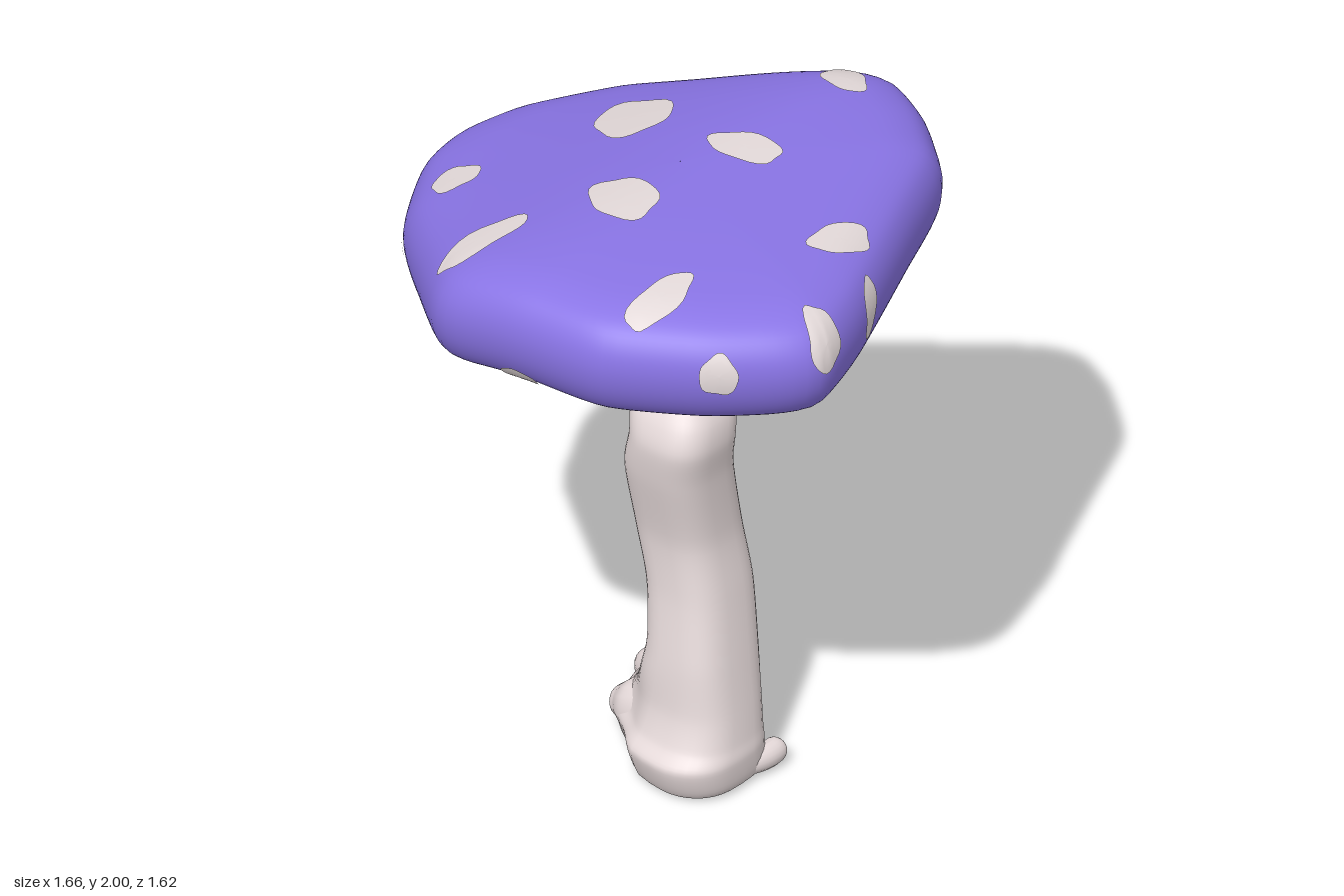
import * as THREE from 'three';

const V = (x, y, z) => new THREE.Vector3(x, y, z);
const { smoothstep } = THREE.MathUtils;
const mat = (name, color) => {
  const m = new THREE.MeshStandardMaterial({ color });
  m.name = name;
  return m;
};

// Closed-ring surface: point(i, j) for row i and ring position j
function loft(rows, n, point) {
  const pos = [], idx = [];
  for (let i = 0; i <= rows; i++) {
    for (let j = 0; j < n; j++) pos.push(...point(i, j).toArray());
  }
  for (let i = 0; i < rows; i++) {
    for (let j = 0; j < n; j++) {
      const k = (j + 1) % n, a = i * n + j, b = a + n, c = b - j + k, d = i * n + k;
      idx.push(a, b, c, a, c, d);
    }
  }
  const g = new THREE.BufferGeometry();
  g.setAttribute('position', new THREE.Float32BufferAttribute(pos, 3));
  g.setIndex(idx);
  g.computeVertexNormals();
  return g;
}

// Tube whose radius follows the given list, kept above the ground
function taperedTube(points, radii) {
  const curve = new THREE.CatmullRomCurve3(points.map((p) => V(...p)));
  const rad = new THREE.CatmullRomCurve3(radii.map((r) => V(r, 0, 0)), false, 'catmullrom');
  const segs = 36, sides = 18;
  const g = new THREE.TubeGeometry(curve, segs, 1, sides);
  const p = g.attributes.position, v = V(0, 0, 0);
  for (let i = 0; i <= segs; i++) {
    const u = i / segs, c = curve.getPointAt(u), r = rad.getPoint(curve.getUtoTmapping(u)).x;
    for (let j = 0; j <= sides; j++) {
      const k = i * (sides + 1) + j;
      v.fromBufferAttribute(p, k).sub(c).multiplyScalar(r).add(c);
      p.setXYZ(k, v.x, Math.max(0.006, v.y), v.z);
    }
  }
  g.computeVertexNormals();
  return g;
}

export function createModel() {
  const group = new THREE.Group();
  const purple = mat('cap purple', 0x8974e5);
  const dark = mat('cavity purple', 0x4c3f86);
  const pale = mat('stem pale', 0xe6dada);
  const cream = mat('spot cream', 0xe4dada);
  const add = (name, geo, material) => {
    const m = new THREE.Mesh(geo, material);
    m.name = name;
    group.add(m);
    return m;
  };

  // Stem: rounded-square sections [y, xMin, xMax, zMin, zMax]
  const sections = [
    [0.004, 0.0195, 0.0205, 0.0095, 0.0105], [0.004, -0.17, 0.21, -0.14, 0.17], [0.03, -0.2, 0.25, -0.165, 0.205],
    [0.11, -0.205, 0.26, -0.16, 0.23], [0.16, -0.18, 0.25, -0.155, 0.19], [0.25, -0.13, 0.235, -0.155, 0.155],
    [0.4, -0.07, 0.21, -0.16, 0.135], [0.6, -0.09, 0.175, -0.175, 0.105], [0.78, -0.13, 0.147, -0.16, 0.105],
    [1.0, -0.13, 0.155, -0.115, 0.155], [1.12, -0.1, 0.172, -0.105, 0.17], [1.2, -0.115, 0.16, -0.12, 0.145],
    [1.3, -0.135, 0.105, -0.145, 0.075], [1.37, -0.12, 0.07, -0.12, 0.055], [1.4, -0.03, -0.02, -0.03, -0.02],
  ];
  const spline = (pts) => new THREE.CatmullRomCurve3(pts, false, 'catmullrom', 0.4);
  const centres = spline(sections.map(([y, a, b, c, d]) => V((a + b) / 2, y, (c + d) / 2)));
  const halves = spline(sections.map(([, a, b, c, d]) => V((b - a) / 2, 0, (d - c) / 2)));
  const soft = (x) => Math.sign(x) * Math.pow(Math.abs(x), 0.72);
  add('stem', loft(84, 40, (i, j) => {
    const c = centres.getPoint(i / 84), h = halves.getPoint(i / 84), a = (j / 40) * Math.PI * 2;
    const cx = Math.cos(a), cz = Math.sin(a);
    // the foot flares towards the back toe and is cut away at one front corner
    const low = (1 - smoothstep(c.y, 0.06, 0.38)) * Math.min(1, h.x / 0.15);
    const flare = low * 0.1 * Math.max(0, -0.8 * cx - 0.6 * cz) ** 4;
    const cut = low * 0.09 * Math.max(0, -0.7 * cx + 0.7 * cz) ** 4;
    return V(c.x + h.x * soft(cx) - 0.8 * flare + 0.7 * cut, Math.max(0, c.y), c.z + h.z * soft(cz) - 0.6 * flare - 0.7 * cut);
  }), pale);

  // Root toes
  add('backToe', taperedTube(
    [[0.06, 0.44, -0.02], [0.01, 0.28, -0.06], [-0.08, 0.15, -0.11], [-0.19, 0.075, -0.18], [-0.28, 0.05, -0.23],
      [-0.335, 0.045, -0.265], [-0.37, 0.045, -0.285]],
    [0.08, 0.12, 0.125, 0.09, 0.06, 0.045, 0.001]), pale);
  add('sideToe', taperedTube(
    [[0.17, 0.05, 0.03], [0.215, 0.047, -0.04], [0.23, 0.045, -0.11], [0.225, 0.045, -0.155], [0.22, 0.045, -0.178]],
    [0.03, 0.036, 0.038, 0.033, 0.001]), pale);
  add('rootKnob', taperedTube(
    [[-0.04, 0.16, 0.02], [-0.13, 0.12, 0.01], [-0.19, 0.1, 0], [-0.225, 0.09, 0], [-0.24, 0.085, 0]],
    [0.08, 0.085, 0.06, 0.04, 0.001]), pale);

  // Four arms carrying the cap: tip radius and path above the shared root
  const arms = [
    [0.033, [[0.04, 1.35, 0.01], [0.2, 1.445, 0.12], [0.43, 1.59, 0.27], [0.58, 1.7, 0.35]]],
    [0.034, [[-0.09, 1.35, -0.03], [-0.25, 1.435, -0.035], [-0.4, 1.55, -0.04], [-0.58, 1.66, -0.05]]],
    [0.045, [[-0.08, 1.34, 0.01], [-0.15, 1.45, 0.13], [-0.155, 1.59, 0.27], [-0.17, 1.74, 0.5]]],
    [0.042, [[-0.01, 1.35, -0.08], [0.03, 1.43, -0.25], [0.07, 1.56, -0.43], [0.08, 1.7, -0.58]]],
  ];
  for (const [r, path] of arms) {
    add('arm', taperedTube([[0.025, 1.14, 0.025], [-0.005, 1.26, -0.015], ...path], [0.07, 0.1, 0.085, 0.05, r, r * 1.3]), pale);
  }

  // Cap: irregular outline (x, z) swept through a profile of [scale, height]
  const outline = [
    [0.14, -0.81], [0.28, -0.745], [0.39, -0.66], [0.475, -0.575], [0.575, -0.34], [0.69, -0.07], [0.77, 0.13],
    [0.825, 0.34], [0.765, 0.455], [0.6, 0.61], [0.345, 0.76], [0.1, 0.79], [-0.15, 0.8], [-0.26, 0.77], [-0.45, 0.61],
    [-0.67, 0.41], [-0.81, 0.17], [-0.835, 0], [-0.79, -0.19], [-0.71, -0.32], [-0.59, -0.455], [-0.37, -0.575],
    [-0.12, -0.715], [0.03, -0.795],
  ];
  const N = 120;
  const edge = new THREE.CatmullRomCurve3(outline.map(([x, z]) => V(x, 0, z)), true, 'catmullrom', 0.35).getSpacedPoints(N);
  const sweep = (profile, rows) => {
    const c = new THREE.CatmullRomCurve3(profile.map(([s, y]) => V(s, y, 0)));
    return loft(rows, N, (i, j) => {
      const { x: s, y } = c.getPoint(i / rows);
      const x = edge[j].x * s, z = edge[j].z * s;
      // the cap sags towards one side and its top is slightly domed
      const sag = 0.135 * smoothstep(0.1 - x, 0, 0.85);
      return V(x, y - sag - 0.075 * (y - 1.62) * (x - 0.3) ** 2, z);
    });
  };
  add('capCavity', sweep([[0.001, 1.86], [0.3, 1.85], [0.48, 1.82], [0.575, 1.75], [0.61, 1.67]], 20), dark);
  const cap = add('cap', sweep([
    [0.61, 1.67], [0.67, 1.635], [0.76, 1.62], [0.86, 1.628], [0.94, 1.67], [0.985, 1.735], [1, 1.81],
    [0.985, 1.875], [0.94, 1.928], [0.85, 1.964], [0.7, 1.984], [0.4, 1.997], [0.001, 2.0],
  ], 56), purple);

  // Spots: irregular thin patches laid onto the near face of the cap
  const ray = new THREE.Raycaster();
  ray.far = 2.6;
  const drape = (origin, dir) => {
    ray.set(origin, dir);
    const hit = ray.intersectObject(cap)[0];
    return hit && hit.point.addScaledVector(hit.face.normal, 0.005);
  };
  let seed = 0;
  function spot(ru, rv, tilt, place) {
    const k = ++seed * 1.7, centre = place(0, 0);
    const ct = Math.cos(tilt), st = Math.sin(tilt);
    add('spot', loft(5, 28, (i, j) => {
      const a = (j / 28) * Math.PI * 2;
      const w = (1 - i / 5) * (1 + 0.06 * Math.sin(3 * a + k) + 0.05 * Math.sin(5 * a + 2 * k));
      const u = ru * w * Math.cos(a), v = rv * w * Math.sin(a);
      // pull points that miss the cap back towards the middle
      for (let f = 1; f > 0; f -= 0.1) {
        const p = place((u * ct - v * st) * f, (u * st + v * ct) * f);
        if (p) return p;
      }
      return centre.clone();
    }), cream);
  }

  // Top spots: x, z, half width, half depth, tilt
  const topSpots = [
    [0.065, -0.64, 0.085, 0.058, 0.4], [-0.31, -0.165, 0.108, 0.128, -0.3], [0.1, -0.165, 0.115, 0.07, -0.15],
    [0, 0.245, 0.12, 0.095, 0.5], [0.575, -0.01, 0.06, 0.1, 0.2], [-0.58, 0.285, 0.064, 0.075, 0],
    [-0.235, 0.58, 0.06, 0.145, 0.3], [0.39, 0.55, 0.057, 0.13, 0],
  ];
  for (const [x, z, a, b, tilt] of topSpots) {
    spot(a, b, tilt, (u, v) => drape(V(x + u, 4, z + v), V(0, -1, 0)));
  }

  // Side spots: x, z near the rim, height, half width, half height, tilt
  const sideSpots = [
    [0.63, 0.58, 1.83, 0.055, 0.06, 0], [0.82, 0.33, 1.88, 0.056, 0.075, 0], [0.73, 0.05, 1.835, 0.04, 0.085, 0.3],
    [0.7, -0.06, 1.665, 0.055, 0.04, 0], [0.45, -0.65, 1.705, 0.037, 0.04, 0], [-0.69, 0.4, 1.615, 0.09, 0.055, 0],
    [0.05, 0.79, 1.665, 0.06, 0.04, 0], [0.09, -0.79, 1.79, 0.06, 0.07, 0], [-0.39, -0.565, 1.77, 0.045, 0.06, 0.3],
    [-0.49, -0.51, 1.635, 0.04, 0.04, 0], [-0.82, -0.09, 1.69, 0.045, 0.05, 0], [-0.15, -0.69, 1.67, 0.035, 0.03, 0],
  ];
  for (const [x, z, y, a, b, tilt] of sideSpots) {
    const n = V(x, 0, z).normalize(), t = V(-n.z, 0, n.x);
    spot(a, b, tilt, (u, v) => drape(
      n.clone().multiplyScalar(3).addScaledVector(t, u).add(V(0, y + v, 0)), n.clone().negate()));
  }

  return group;
}
